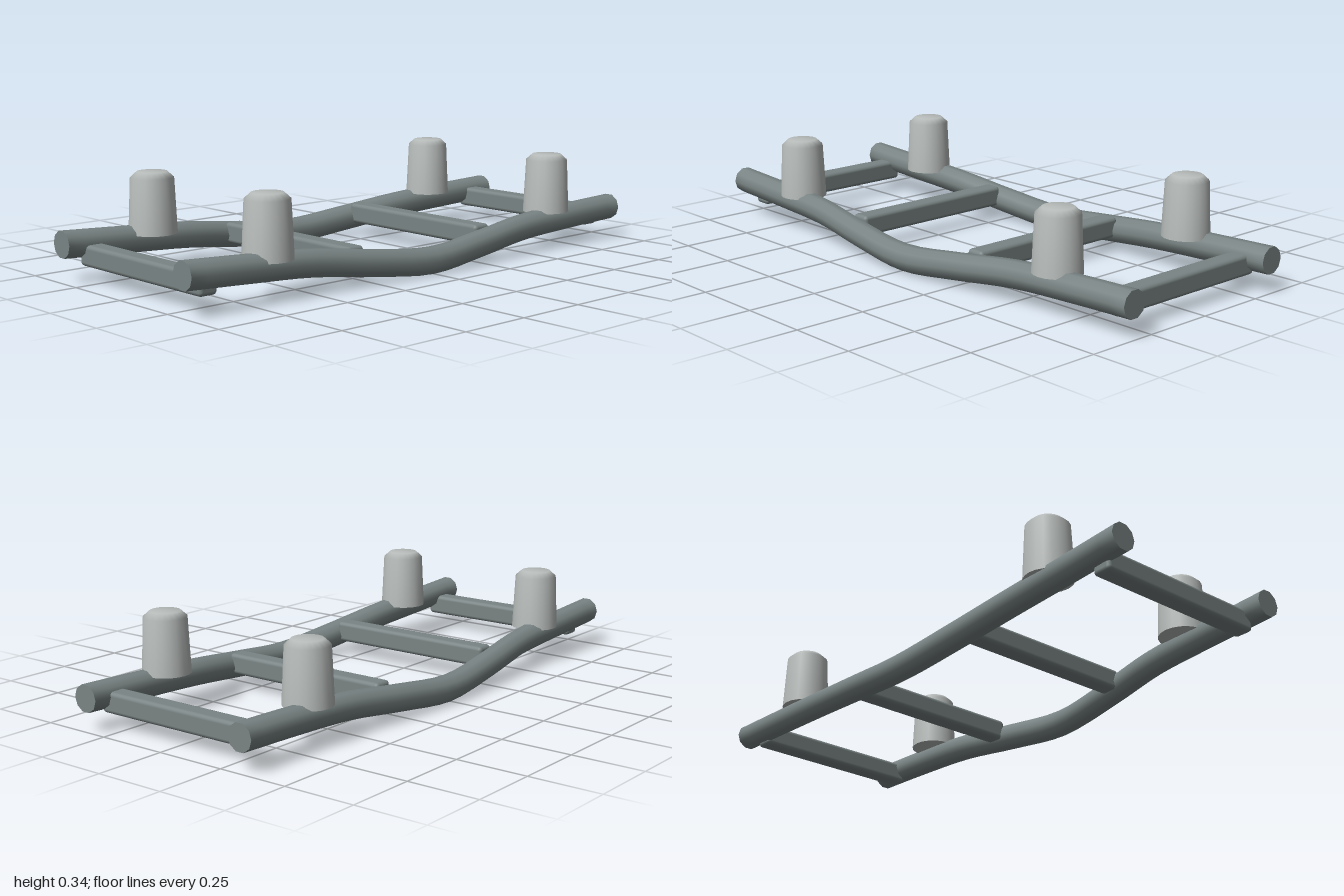
import * as THREE from 'three';
import { RoundedBoxGeometry } from 'three/addons/geometries/RoundedBoxGeometry.js';

export function createModel() {
  const model = new THREE.Group();
  model.name = 'ladderFrame';

  const railMetal = new THREE.MeshStandardMaterial({ color: 0x7a8484 });
  railMetal.name = 'frame grey';
  const mountMetal = new THREE.MeshStandardMaterial({ color: 0xb8bdbb });
  mountMetal.name = 'light grey';

  const add = (name, geometry, material, x = 0, y = 0, z = 0) => {
    const mesh = new THREE.Mesh(geometry, material);
    mesh.name = name;
    mesh.position.set(x, y, z);
    model.add(mesh);
  };

  // Rail centre line from back to front: x offset and height, every 0.25 in z
  const path = new THREE.CatmullRomCurve3([
    [0.328, 0.112], [0.328, 0.104], [0.332, 0.092], [0.353, 0.066], [0.368, 0.045],
    [0.353, 0.068], [0.332, 0.1], [0.328, 0.116], [0.328, 0.13],
  ].map(([x, y], i) => new THREE.Vector3(x, y, -1 + i * 0.25)), false, 'catmullrom', 0.5);

  // Side rails: ten-sided bars bent along the centre line
  function railGeometry(side) {
    const g = new THREE.CylinderGeometry(0.047, 0.047, 2, 10, 32, false, Math.PI / 10);
    g.rotateX(Math.PI / 2);
    const p = g.attributes.position;
    for (let i = 0; i < p.count; i++) {
      const t = THREE.MathUtils.clamp((p.getZ(i) + 1) / 2, 0, 1);
      const c = path.getPoint(t);
      p.setXY(i, p.getX(i) + side * c.x, p.getY(i) + c.y);
    }
    g.computeVertexNormals();
    return g;
  }
  add('leftRail', railGeometry(1), railMetal);
  add('rightRail', railGeometry(-1), railMetal);

  // Cross bars with softened edges
  const barGeometry = new RoundedBoxGeometry(0.65, 0.073, 0.07, 2, 0.014);
  for (const z of [-0.9, -0.3, 0.3, 0.9]) add('crossBar', barGeometry, railMetal, 0, 0.0885, z);

  // Tapered mounts: wall, bevel and flat top
  const wall = new THREE.LatheGeometry([
    new THREE.Vector2(0, 0), new THREE.Vector2(0.083, 0), new THREE.Vector2(0.083, 0),
    new THREE.Vector2(0.074, 0.19), new THREE.Vector2(0.052, 0.21), new THREE.Vector2(0, 0.21),
  ], 20);
  for (const x of [-0.305, 0.305]) {
    for (const z of [-0.66, 0.655]) add('mount', wall, mountMetal, x, 0.13, z);
  }
  return model;
}
